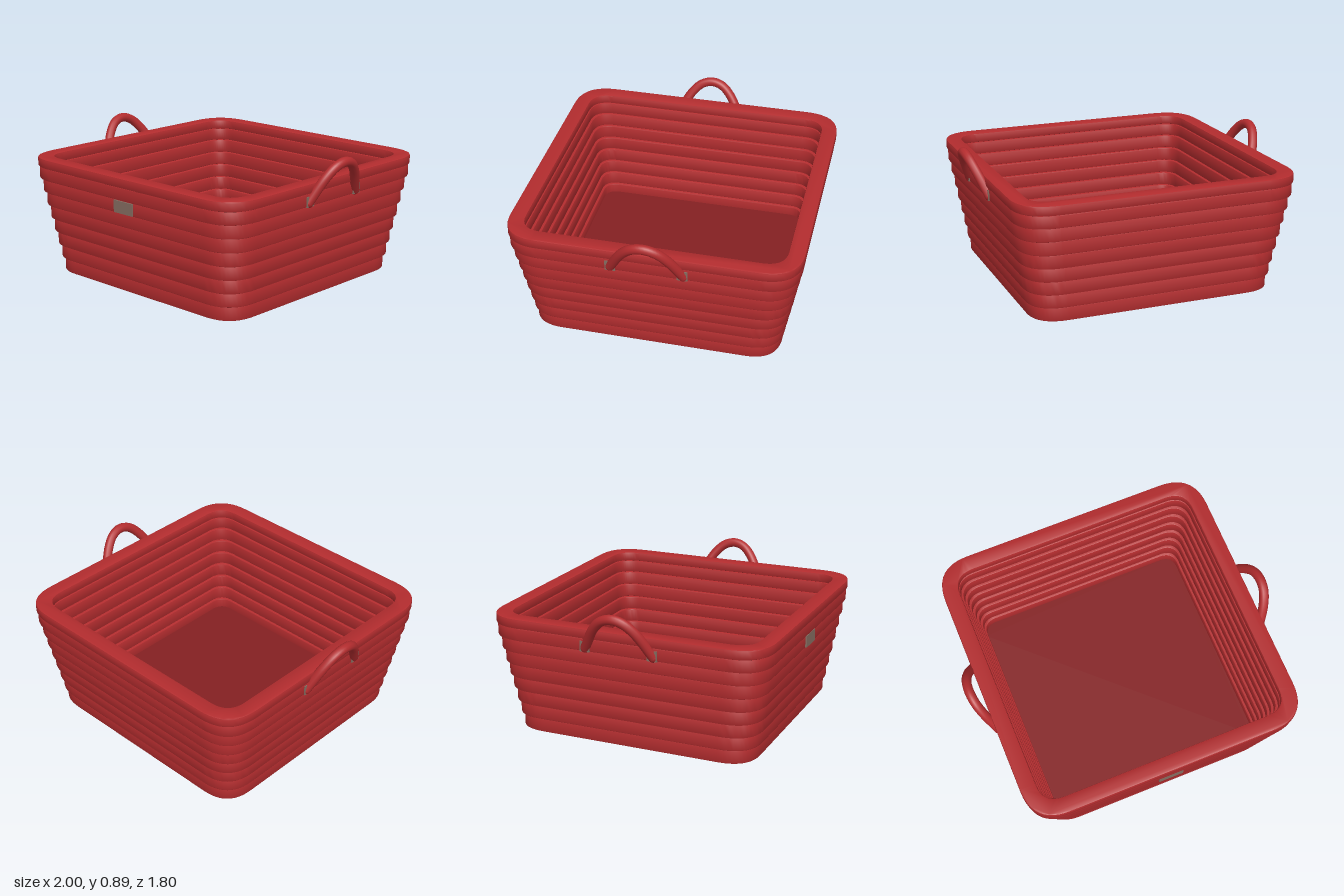
import * as THREE from 'three';
import { toCreasedNormals } from 'three/addons/utils/BufferGeometryUtils.js';

// Square outline with softly rounded corners
function roundedSquare(PathType, h, r) {
  const p = new PathType();
  p.moveTo(-h + r, -h);
  p.lineTo(h - r, -h);
  p.quadraticCurveTo(h, -h, h, -h + r);
  p.lineTo(h, h - r);
  p.quadraticCurveTo(h, h, h - r, h);
  p.lineTo(-h + r, h);
  p.quadraticCurveTo(-h, h, -h, h - r);
  p.lineTo(-h, -h + r);
  p.quadraticCurveTo(-h, -h, -h + r, -h);
  return p;
}

// Flat-lying slab with slightly softened edges, spanning y0 to y1
function slab(shape, y0, y1, bevel) {
  const geo = new THREE.ExtrudeGeometry(shape, {
    depth: y1 - y0 - 2 * bevel, curveSegments: 12,
    bevelEnabled: bevel > 0, bevelThickness: bevel, bevelSize: bevel,
    bevelOffset: -bevel, bevelSegments: 2,
  });
  geo.rotateX(-Math.PI / 2);
  geo.translate(0, y0 + bevel, 0);
  return toCreasedNormals(geo, 0.6);
}

export function createModel() {
  const basket = new THREE.Group();
  basket.name = 'basket';
  const red = new THREE.MeshStandardMaterial({ color: 0xb22c2e });
  red.name = 'red rope';
  const darkRed = new THREE.MeshStandardMaterial({ color: 0x842022 });
  darkRed.name = 'dark red floor';
  const taupe = new THREE.MeshStandardMaterial({ color: 0x846c60 });
  taupe.name = 'taupe patch';

  const add = (name, geo, mat, parent = basket) => {
    const mesh = new THREE.Mesh(geo, mat);
    mesh.name = name;
    parent.add(mesh);
    return mesh;
  };

  // Stepped wall of stacked coils, each wider than the one below
  const wall = new THREE.Group();
  wall.name = 'wall';
  basket.add(wall);
  const levels = [0.005, 0.094, 0.182, 0.27, 0.358, 0.446, 0.534, 0.62, 0.7];
  for (let i = 0; i < 8; i++) {
    const half = 0.782 + i * 0.0155;
    const shape = roundedSquare(THREE.Shape, half, 0.2 + i * 0.003);
    shape.holes.push(roundedSquare(THREE.Path, 0.7 + i * 0.0135, 0.09 + i * 0.005));
    add('coil' + (i + 1), slab(shape, levels[i], levels[i + 1], 0.007), red, wall);
  }

  // Rim
  const rim = roundedSquare(THREE.Shape, 0.9, 0.235);
  rim.holes.push(roundedSquare(THREE.Path, 0.8, 0.135));
  add('rim', slab(rim, 0.7, 0.76, 0.008), red);

  // Floor panel
  add('floor', slab(roundedSquare(THREE.Shape, 0.71, 0.1), 0, 0.03, 0), darkRed);

  // Front patch
  add('frontPatch', new THREE.BoxGeometry(0.16, 0.076, 0.0098), taupe)
    .position.set(0, 0.577, 0.881);

  // Arched, outward-leaning handles with a patch at each foot
  const arch = [[-0.22, 0.64], [-0.135, 0.785], [-0.07, 0.846], [0, 0.865],
    [0.07, 0.846], [0.135, 0.785], [0.22, 0.64]];
  for (const side of [1, -1]) {
    const handle = new THREE.Group();
    handle.name = side > 0 ? 'leftHandle' : 'rightHandle';
    basket.add(handle);
    const path = new THREE.CatmullRomCurve3(arch.map(([z, y]) =>
      new THREE.Vector3(side * (0.88 + (y - 0.64) * 0.4), y, z)));
    add('grip', new THREE.TubeGeometry(path, 40, 0.03, 12), red, handle);
    for (const z of [-0.218, 0.218]) {
      add('handlePatch', new THREE.BoxGeometry(0.0098, 0.064, 0.064), taupe, handle)
        .position.set(side * 0.892, 0.651, z);
      // Closed rope end
      add('gripEnd', new THREE.SphereGeometry(0.03, 12, 8), red, handle)
        .position.set(side * 0.88, 0.64, Math.sign(z) * 0.22);
    }
  }
  return basket;
}
